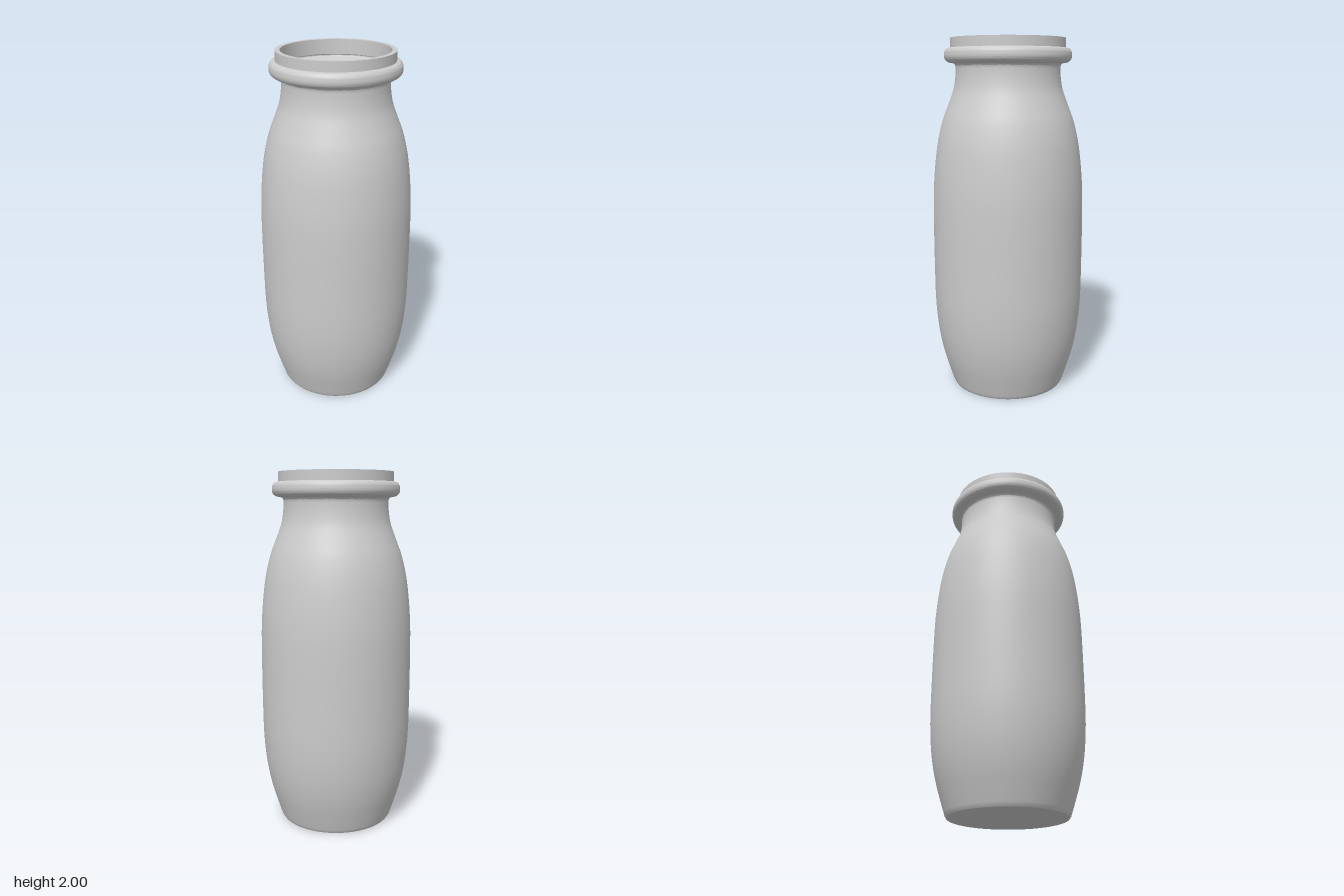
import * as THREE from 'three';
import { toCreasedNormals } from 'three/addons/utils/BufferGeometryUtils.js';

const WALL = 0.03;
const v = ([r, y]) => new THREE.Vector2(r, y);
const smooth = (pts, n) => new THREE.SplineCurve(pts.map(v)).getPoints(n);

// Swelling body, from base to neck
const body = [
  [0.33, 0.012], [0.352, 0.08], [0.382, 0.18], [0.404, 0.28], [0.418, 0.38], [0.427, 0.5],
  [0.43, 0.65], [0.43, 1.0], [0.424, 1.2], [0.403, 1.4], [0.372, 1.54], [0.335, 1.64],
  [0.306, 1.72], [0.294, 1.79], [0.292, 1.845],
];

// Rounded collar below the mouth
const collarOuter = [
  [0.292, 1.845], [0.296, 1.857], [0.308, 1.864], [0.33, 1.868], [0.347, 1.879], [0.354, 1.895],
  [0.354, 1.918], [0.347, 1.936], [0.335, 1.945], [0.32, 1.947],
];

// Hollow inside of the collar, from the mouth down to the neck
const collarInner = [
  [0.293, 1.918], [0.312, 1.917], [0.323, 1.91], [0.323, 1.902], [0.312, 1.896],
  [0.29, 1.892], [0.271, 1.878], [0.263, 1.855], [0.262, 1.82],
];

export function createModel() {
  const group = new THREE.Group();
  const inside = body.slice(1, -1).reverse().map(([r, y]) => [r - WALL, y]);

  // One closed profile: base, outer wall, collar, lip, then back down the inner wall
  const profile = [
    v([0, 0]), v([0.322, 0]),
    ...smooth(body, 56),
    ...smooth(collarOuter, 27).slice(1),
    v([0.32, 2]), v([0.293, 2]),
    ...smooth(collarInner, 24),
    ...smooth(inside, 48),
    v([0.3, WALL]), v([0, WALL]),
  ];

  const geometry = toCreasedNormals(new THREE.LatheGeometry(profile, 96), 0.6);
  const bottle = new THREE.Mesh(geometry, new THREE.MeshStandardMaterial({ color: 0xcccccc }));
  bottle.name = 'bottle';
  group.add(bottle);
  return group;
}
